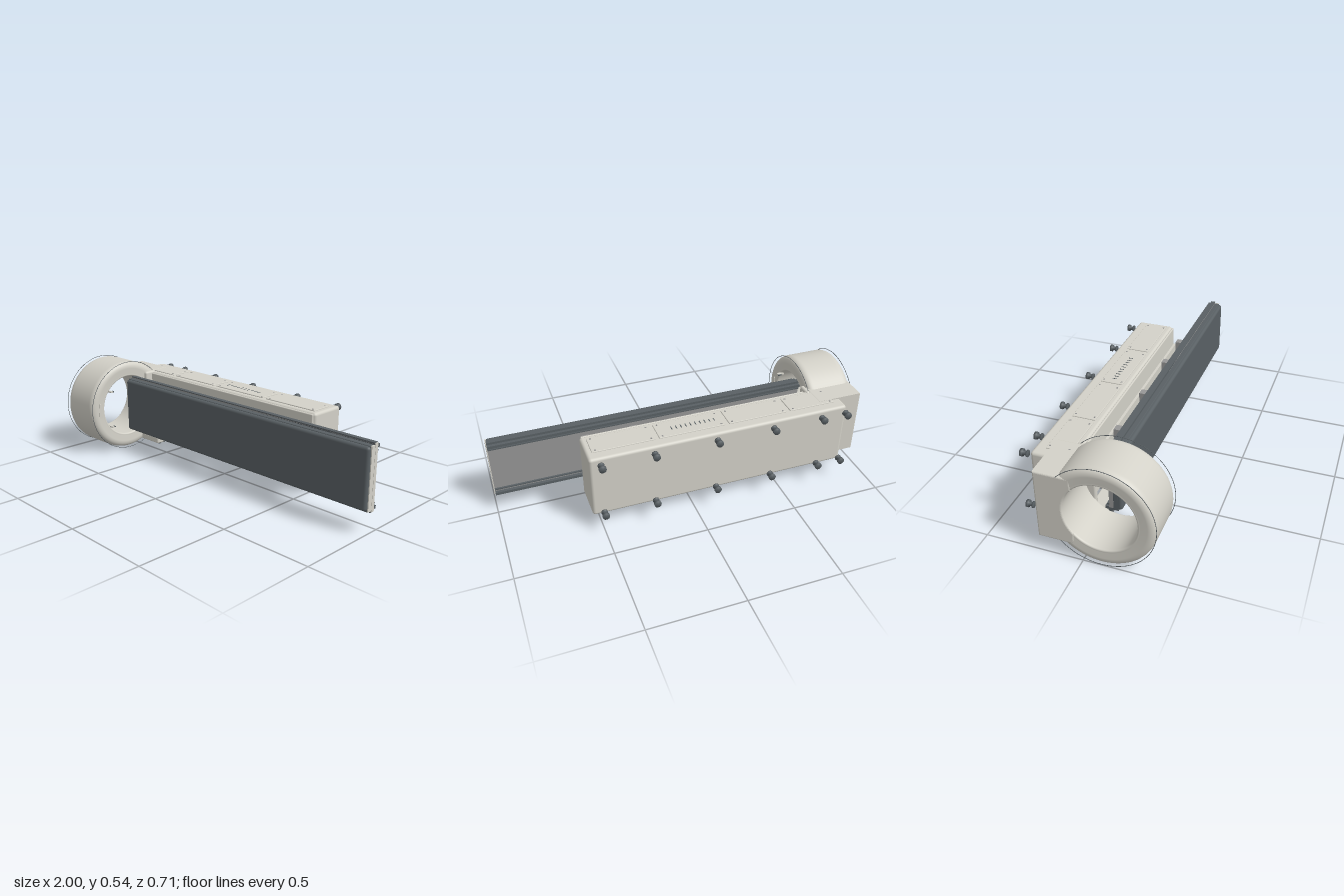
import * as THREE from 'three';
import { RoundedBoxGeometry } from 'three/addons/geometries/RoundedBoxGeometry.js';

const mat = (color) => new THREE.MeshStandardMaterial({ color });
const AXIS_Y = 0.27, AXIS_Z = 0.088, BORE = 0.178;

export function createModel() {
  const model = new THREE.Group();
  const shell = mat(0xd3d1c8), dark = mat(0x596064), grey = mat(0x969696);

  const add = (name, geometry, material, parent = model) => {
    const mesh = new THREE.Mesh(geometry, material);
    mesh.name = name;
    parent.add(mesh);
    return mesh;
  };
  const group = (name) => {
    const g = new THREE.Group();
    g.name = name;
    model.add(g);
    return g;
  };
  // Box given by its limits, with optional rounded edges
  const box = (name, [x0, x1], [y0, y1], [z0, z1], material, parent, r = 0) => {
    const s = [x1 - x0, y1 - y0, z1 - z0];
    const geo = r ? new RoundedBoxGeometry(...s, 3, r) : new THREE.BoxGeometry(...s);
    const mesh = add(name, geo, material, parent);
    mesh.position.set((x0 + x1) / 2, (y0 + y1) / 2, (z0 + z1) / 2);
    return mesh;
  };

  // Ring gantry: rounded profile turned about the x axis
  const gantry = group('gantry');
  const p = new THREE.Path();
  const f = 0.04, R = 0.265, h = 0.13, g = 0.014;
  p.moveTo(BORE, -h + g);
  p.quadraticCurveTo(BORE, -h, BORE + g, -h + 0.003);
  p.lineTo(R - f, -h);
  p.quadraticCurveTo(R, -h, R, -h + f);
  p.lineTo(R, h - f);
  p.quadraticCurveTo(R, h, R - f, h);
  p.lineTo(BORE + g, h - 0.003);
  p.quadraticCurveTo(BORE, h, BORE, h - g);
  p.lineTo(BORE, -h + g);
  const ring = add('gantryRing', new THREE.LatheGeometry(p.getPoints(8), 96), shell, gantry);
  ring.rotation.z = -Math.PI / 2;
  ring.position.set(-0.87, AXIS_Y, AXIS_Z);

  // Thin hoops around both faces of the ring
  for (const x of [-0.998, -0.739]) {
    const hoop = add('gantryHoop', new THREE.TorusGeometry(0.2665, 0.0015, 6, 96), dark, gantry);
    hoop.rotation.y = Math.PI / 2;
    hoop.position.set(x, AXIS_Y, AXIS_Z);
  }
  // Blank plaque on the ring face and small sensors in the bore
  box('plaque', [-0.745, -0.738], [0.226, 0.315], [0.286, 0.306], shell, gantry);
  for (const y of [0.162, 0.378]) {
    box('boreSensor', [-0.76, -0.72], [y - 0.004, y + 0.004], [0.217, 0.232], shell, gantry);
    box('boreSensorTip', [-0.74, -0.72], [y - 0.003, y + 0.003], [0.208, 0.214], dark, gantry);
  }

  // Housing behind the ring, cut out around the bore
  const dz = 0.04 + AXIS_Z, dy = Math.sqrt(BORE * BORE - dz * dz), a = Math.atan2(dy, dz);
  const s = new THREE.Shape();
  s.moveTo(0.04, AXIS_Y + dy);
  s.lineTo(0.04, 0.455);
  s.lineTo(0.22, 0.455);
  s.lineTo(0.22, 0.085);
  s.lineTo(0.04, 0.085);
  s.lineTo(0.04, AXIS_Y - dy);
  s.absarc(-AXIS_Z, AXIS_Y, BORE, -a, a, false);
  const neck = new THREE.ExtrudeGeometry(s, {
    depth: 0.244, curveSegments: 20, bevelSize: 0.008, bevelThickness: 0.008, bevelOffset: -0.008, bevelSegments: 3,
  });
  neck.rotateY(Math.PI / 2);
  add('gantryHousing', neck, shell, gantry).position.x = -0.992;
  box('gantryCover', [-0.75, -0.722], [0.087, 0.455], [-0.12, -0.038], shell, gantry, 0.012);

  // Long main cabinet with front panel
  const cabinet = group('cabinet');
  box('cabinetBody', [-0.87, 0.55], [0.093, 0.449], [-0.297, -0.09], shell, cabinet, 0.016);
  box('cabinetFrontPanel', [-0.72, 0.54], [0.1, 0.444], [-0.092, -0.08], shell, cabinet, 0.005);

  // Service hatches with screws and vents, on top and underneath
  for (const y of [0.45, 0.092]) {
    const out = y > 0.27 ? 0.004 : -0.004;
    for (const [x0, x1] of [[-0.82, -0.56], [-0.54, -0.21], [-0.19, 0.17], [0.19, 0.52]]) {
      box('hatch', [x0, x1], [y - 0.004, y + 0.004], [-0.242, -0.12], shell, cabinet, 0.003);
      for (const x of [x0 + 0.02, x1 - 0.02]) for (const z of [-0.23, -0.132]) {
        const screw = add('hatchScrew', new THREE.CylinderGeometry(0.005, 0.005, 0.003, 10), grey, cabinet);
        screw.position.set(x, y + out, z);
      }
    }
    for (let i = 0; i < 10; i++) {
      const x = -0.15 + i * 0.026;
      box('ventSlot', [x, x + 0.005], [y + out - 0.001, y + out + 0.001], [-0.192, -0.168], dark, cabinet);
    }
  }

  // Mounting studs behind the cabinet
  const studs = group('mountingStuds');
  const studProfile = [[0, 0], [0.017, 0], [0.017, 0.007], [0.011, 0.007], [0.011, 0.026],
    [0.019, 0.026], [0.019, 0.039], [0, 0.039]].map(([r, t]) => new THREE.Vector2(r, t));
  for (const x of [-0.85, -0.71, -0.43, -0.115, 0.22, 0.495]) for (const y of [0.12, 0.422]) {
    const stud = add('stud', new THREE.LatheGeometry(studProfile, 20), dark, studs);
    stud.material.side = THREE.DoubleSide;
    stud.rotation.x = -Math.PI / 2;
    stud.position.set(x, y, -0.316);
  }

  // Carriage between cabinet and table
  const carriage = group('carriage');
  box('carriageRail', [-0.65, 0.48], [0.26, 0.28], [-0.066, -0.045], shell, carriage);
  box('carriageBacking', [-0.65, 0.54], [0.2, 0.34], [-0.082, -0.066], shell, carriage);
  for (const x of [-0.47, -0.115, 0.24, 0.497])
    box('crossBlock', [x - 0.021, x + 0.021], [0.155, 0.385], [-0.048, 0.003], grey, carriage);
  box('tableGuide', [-0.3, 0.3], [0.258, 0.283], [-0.012, 0.03], grey, carriage);

  // Table: cushion, tray, grey back and side rails
  const table = group('table');
  const X = [-0.75, 0.995];
  box('cushion', X, [0.115, 0.426], [0.06, 0.095], dark, table, 0.015);
  box('tray', X, [0.11, 0.43], [0.048, 0.077], dark, table, 0.004);
  box('tableBack', X, [0.105, 0.435], [0.028, 0.05], grey, table);
  box('trayEndCap', [0.99, 1.0], [0.112, 0.43], [0.051, 0.076], shell, table);
  box('backEndCap', [0.99, 1.0], [0.104, 0.438], [0.03, 0.049], shell, table);
  for (const side of [-1, 1]) {
    const strip = (name, d0, d1, z) => {
      const ys = [AXIS_Y + side * d0, AXIS_Y + side * d1].sort((m, n) => m - n);
      box(name, X, ys, z, dark, table);
    };
    strip('sideRail', 0.148, 0.17, [0.025, 0.05]);
    strip('innerRail', 0.125, 0.132, [0.018, 0.03]);
    strip('guideRail', 0.143, 0.158, [0.008, 0.026]);
  }

  // Control box under the gantry with knobs and a cable
  const control = group('controlBox');
  box('controlCase', [-0.715, -0.56], [0.046, 0.084], [-0.083, 0.018], shell, control, 0.008);
  for (let i = 0; i < 4; i++) for (const z of [-0.05, -0.015]) {
    const knob = add('controlKnob', new THREE.CylinderGeometry(0.008, 0.008, 0.012, 14), dark, control);
    knob.position.set(-0.69 + i * 0.035, 0.042, z);
  }
  const cable = new THREE.CatmullRomCurve3([
    [-0.66, 0.07, -0.08], [-0.66, 0.058, -0.105], [-0.66, 0.068, -0.11], [-0.66, 0.1, -0.085],
  ].map((v) => new THREE.Vector3(...v)));
  add('controlCable', new THREE.TubeGeometry(cable, 24, 0.005, 8), dark, control);

  return model;
}
